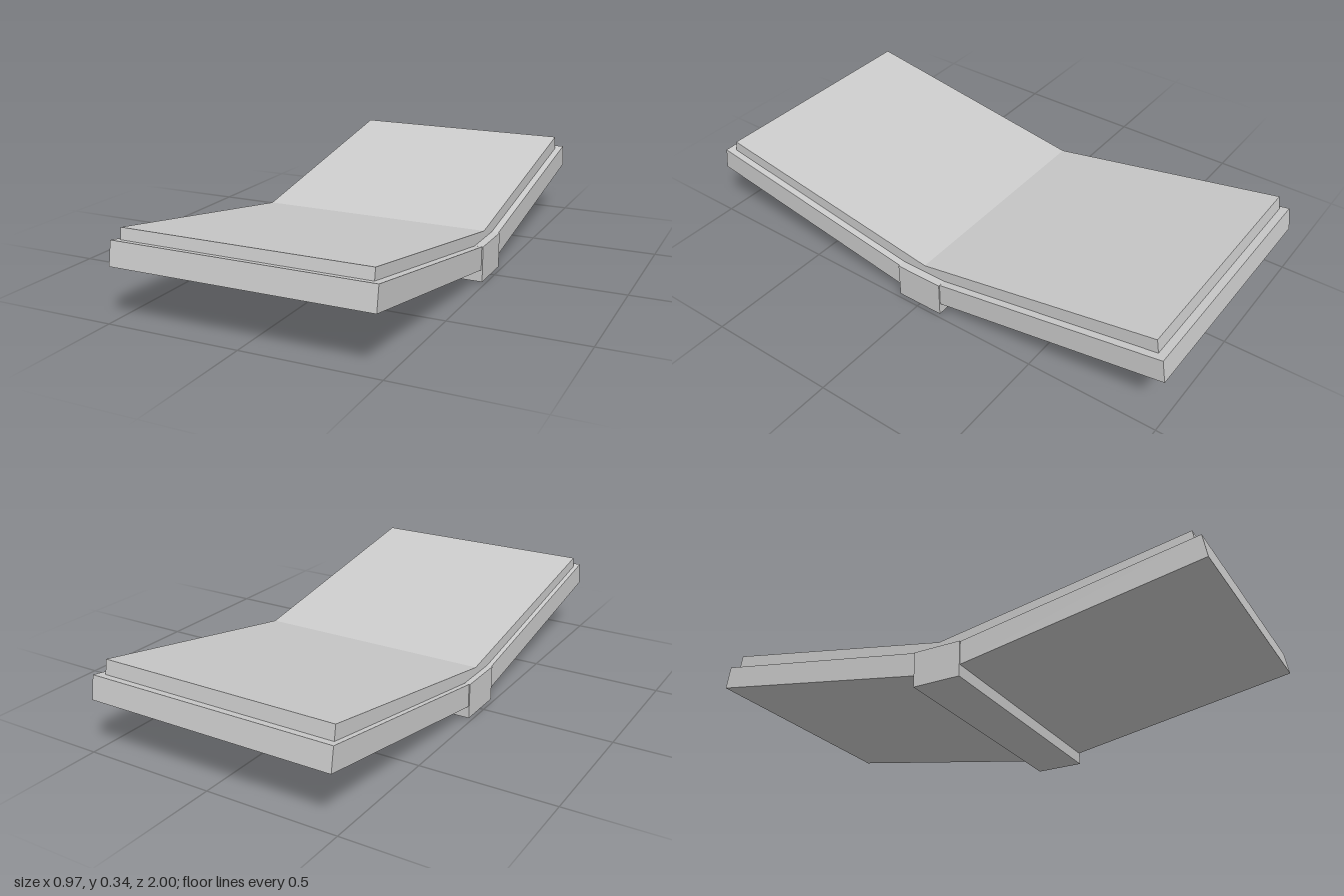
import * as THREE from 'three';

const material = new THREE.MeshStandardMaterial({ color: 0xcccccc, flatShading: true });

// Extrude a side profile of [z, y] points across the width from x0 to x1
function slab(name, profile, x0, x1) {
  const shape = new THREE.Shape(profile.map(([z, y]) => new THREE.Vector2(z, y)));
  const geometry = new THREE.ExtrudeGeometry(shape, { depth: x1 - x0, bevelEnabled: false });
  geometry.rotateY(-Math.PI / 2); // profile runs along z, depth along -x
  geometry.translate(x1, 0, 0);
  const mesh = new THREE.Mesh(geometry, material);
  mesh.name = name;
  return mesh;
}

export function createModel() {
  const group = new THREE.Group();
  group.name = 'foldedPanel';

  // Two mirrored tilted base panels
  for (const [name, s] of [['frontPanel', 1], ['backPanel', -1]]) {
    const profile = [[0.09, 0.045], [1, 0.204], [0.985, 0.291], [0.09, 0.135]];
    group.add(slab(name, profile.map(([z, y]) => [s * z, y]), -0.481, 0.479));
  }

  // Central block joining the panels and resting on the ground
  group.add(slab('hingeBlock', [[-0.094, 0], [0.094, 0], [0.094, 0.136], [-0.094, 0.136]], -0.485, 0.484));

  // V-shaped top layer, slightly thicker at the back
  group.add(slab('topLayer', [
    [0.094, 0.135], [0.957, 0.286], [0.95, 0.327], [-0.005, 0.165],
    [-0.945, 0.339], [-0.954, 0.286], [-0.094, 0.135],
  ], -0.463, 0.452));

  return group;
}
